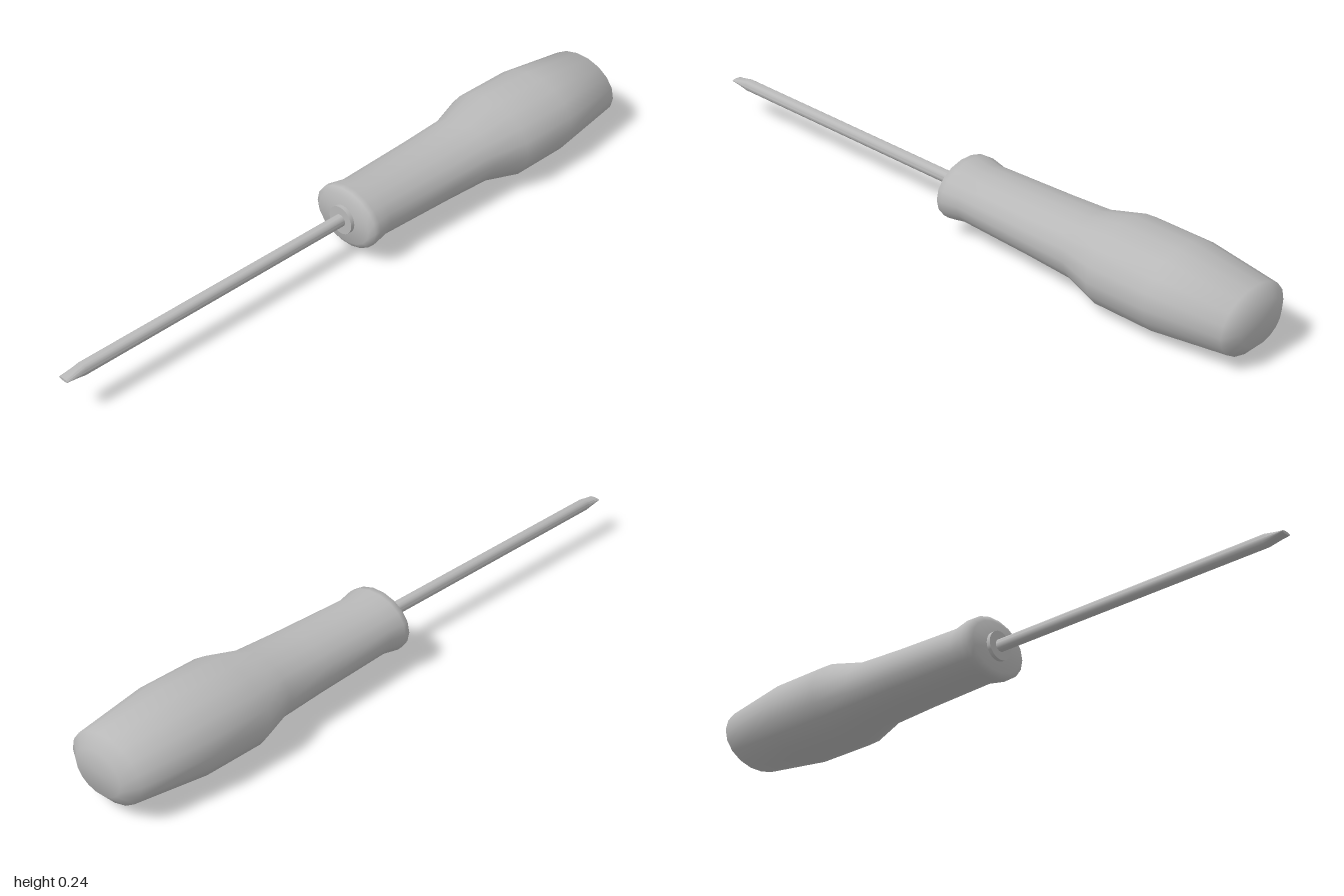
import * as THREE from 'three';
import { toCreasedNormals } from 'three/addons/utils/BufferGeometryUtils.js';

const AXIS_Y = 0.121;

// Skin of elliptical rings along z; each ring is [z, half width, half height], from back to front
function ringSolid(rings, sides, crease) {
  const profile = rings.map(([z, rx]) => new THREE.Vector2(rx, z));
  const geo = new THREE.LatheGeometry(profile, sides, Math.PI / 2);
  geo.rotateX(Math.PI / 2);
  const pos = geo.attributes.position;
  for (let i = 0; i < pos.count; i++) {
    const [, rx, ry] = rings[i % rings.length];
    pos.setY(i, rx > 0 ? pos.getY(i) * ry / rx : 0);
  }
  geo.translate(0, AXIS_Y, 0);
  return toCreasedNormals(geo, crease);
}

export function createModel() {
  const model = new THREE.Group();
  const grey = new THREE.MeshStandardMaterial({ color: 0xb8b8b8 });
  grey.name = 'plain grey';

  const add = (name, geometry) => {
    const mesh = new THREE.Mesh(geometry, grey);
    mesh.name = name;
    model.add(mesh);
  };

  // Oval grip: chamfered butt, swollen palm, slim neck and flared front collar
  add('handle', ringSolid([
    [-1, 0, 0],
    [-1, 0.083, 0.063],
    [-0.972, 0.128, 0.095],
    [-0.75, 0.157, 0.122],
    [-0.56, 0.157, 0.122],
    [-0.45, 0.122, 0.095],
    [-0.3, 0.116, 0.087],
    [-0.05, 0.107, 0.081],
    [0.0, 0.117, 0.09],
    [0.018, 0.115, 0.09],
    [0.029, 0.098, 0.074],
    [0.029, 0, 0],
  ], 18, Math.PI));

  // Round ring where the shaft enters the handle
  add('ferrule', ringSolid([
    [0.0, 0, 0],
    [0.0, 0.043, 0.043],
    [0.041, 0.043, 0.043],
    [0.041, 0, 0],
  ], 24, 0.7));

  // Round shaft flattened into a chisel tip
  add('shaftAndTip', ringSolid([
    [0.02, 0, 0],
    [0.02, 0.0185, 0.0185],
    [0.94, 0.0185, 0.0185],
    [1, 0.017, 0.004],
    [1, 0, 0],
  ], 16, 0.6));

  return model;
}
